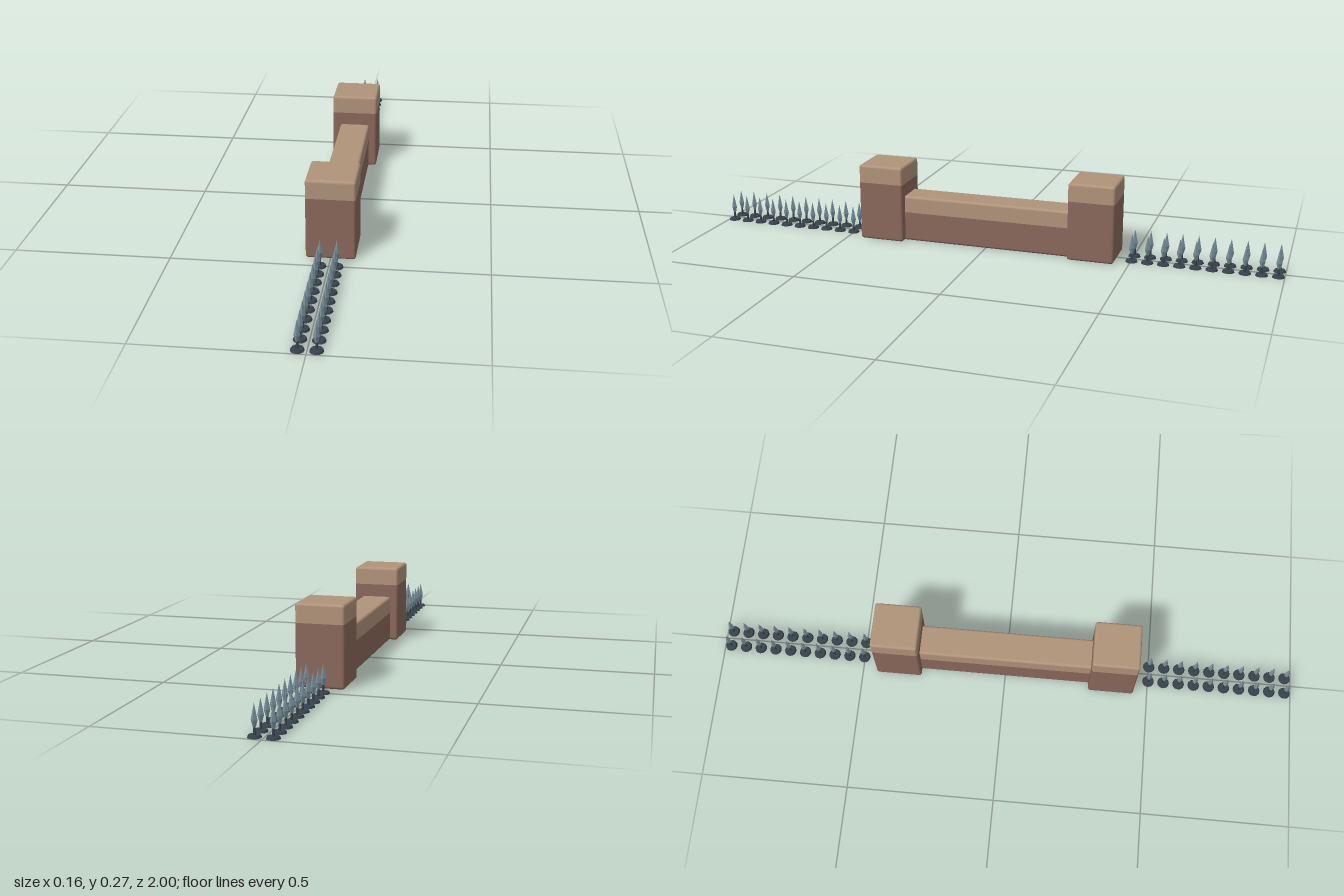
import * as THREE from 'three';
import { RoundedBoxGeometry } from 'three/addons/geometries/RoundedBoxGeometry.js';

const material = (name, color) => Object.assign(new THREE.MeshStandardMaterial({ color }), { name });

function mesh(name, geometry, mat) {
  const m = new THREE.Mesh(geometry, mat);
  m.name = name;
  return m;
}

// One half of a softened block, cut flat at height `split`
function blockHalf(w, h, d, r, split, upper) {
  const geo = new RoundedBoxGeometry(w, h, d, 3, r).translate(0, h / 2, 0);
  const pos = geo.attributes.position;
  for (let i = 0; i < pos.count; i++) {
    if ((pos.getY(i) < h / 2) === upper) pos.setY(i, split);
  }
  return geo;
}

export function createModel() {
  const tan = material('tan cap', 0xb0937a);
  const brown = material('brown clay', 0x8a685b);
  const steel = material('steel', 0x78909c);
  const iron = material('dark iron', 0x37424c);
  const model = new THREE.Group();
  model.name = 'barrier';

  // Two-tone blocks: brown body below, tan cap above
  function block(name, w, h, d, split, z) {
    const g = new THREE.Group();
    g.name = name;
    g.add(mesh('body', blockHalf(w, h, d, 0.009, split, false), brown));
    g.add(mesh('cap', blockHalf(w, h, d, 0.009, split, true), tan));
    g.position.z = z;
    model.add(g);
  }
  block('wall', 0.104, 0.16, 0.6, 0.102, 0);
  block('frontPillar', 0.158, 0.266, 0.158, 0.204, 0.372);
  block('backPillar', 0.158, 0.266, 0.158, 0.204, -0.372);

  // Spike parts, shared by every spike
  const baseGeo = new THREE.CylinderGeometry(0.0175, 0.0205, 0.007, 12).translate(0, 0.0035, 0);
  const stemGeo = new THREE.CylinderGeometry(0.0032, 0.0042, 0.026, 8).translate(0, 0.019, 0);
  const profile = [[0, 0.025], [0.0045, 0.028], [0.0098, 0.048], [0, 0.096]];
  const headGeo = new THREE.LatheGeometry(profile.map(p => new THREE.Vector2(...p)), 4).toNonIndexed();
  headGeo.computeVertexNormals();

  // Double rows of spikes at both ends
  for (const end of [1, -1]) {
    const rows = new THREE.Group();
    rows.name = end > 0 ? 'frontSpikes' : 'backSpikes';
    for (let i = 0; i < 10; i++) {
      for (const side of [1, -1]) {
        const spike = new THREE.Group();
        spike.name = 'spike';
        spike.add(mesh('base', baseGeo, iron), mesh('stem', stemGeo, iron), mesh('head', headGeo, steel));
        spike.position.set(side * 0.0267, 0, end * (0.5025 + i * 0.053));
        rows.add(spike);
      }
    }
    model.add(rows);
  }
  return model;
}
